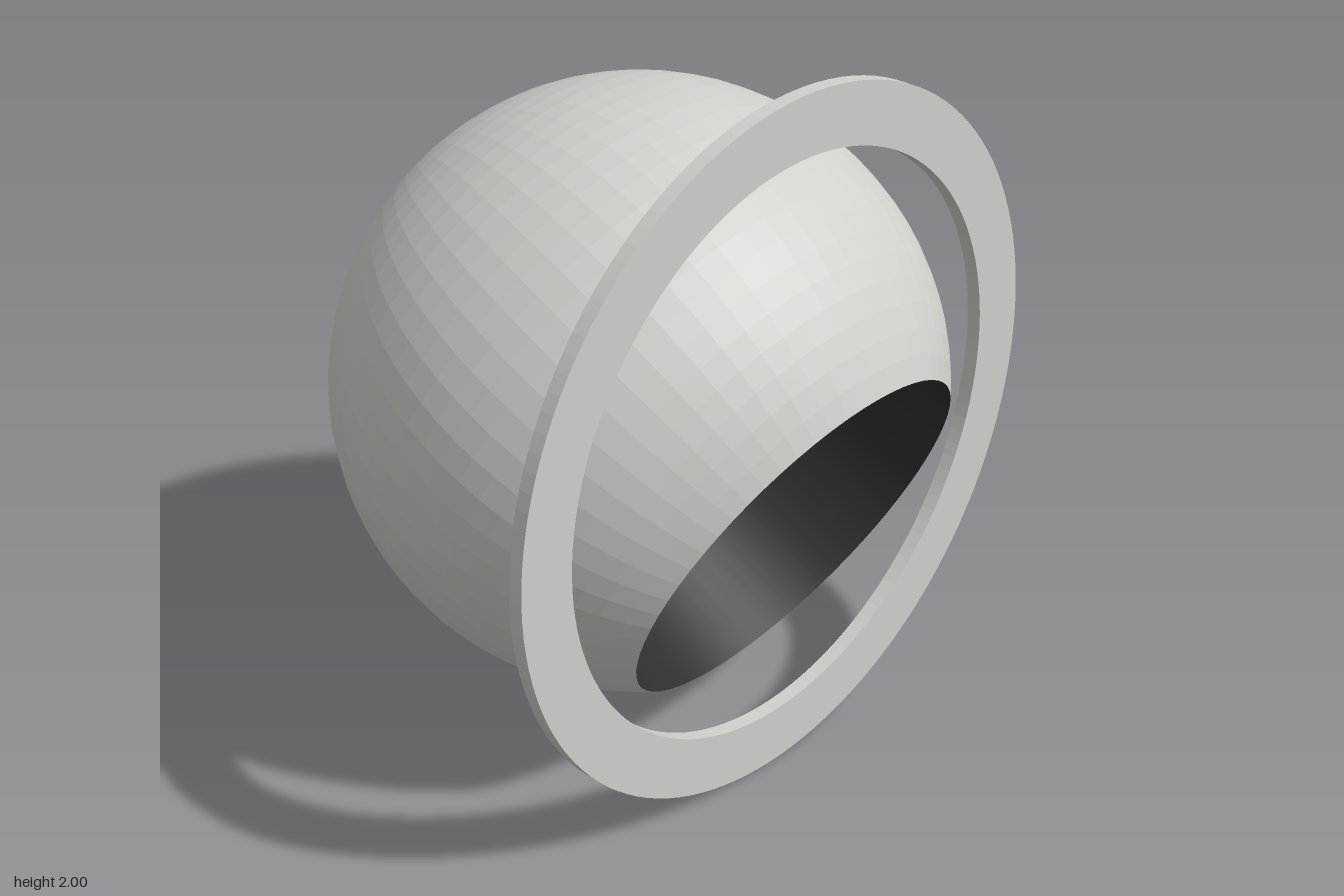
import * as THREE from 'three';

const R = 0.853;                          // sphere radius
const OPEN = THREE.MathUtils.degToRad(42.2); // half angle of the opening
const RIM = R * Math.sin(OPEN);
const RIM_Y = R * Math.cos(OPEN);
const FLOOR = 0.52, DEPTH = 0.44;         // recess floor radius and depth

export function createModel() {
  const shell = new THREE.MeshStandardMaterial({ color: 0xd0d0cb, flatShading: true });
  shell.name = 'light grey';
  const dark = new THREE.MeshStandardMaterial({ color: 0x2f2f2f, side: THREE.DoubleSide });
  dark.name = 'charcoal';

  const model = new THREE.Group();
  const add = (parent, name, geometry, material) => {
    const mesh = new THREE.Mesh(geometry, material);
    mesh.name = name;
    parent.add(mesh);
    return mesh;
  };

  // Truncated ball, its opening tipped forward and 25 degrees down
  const ball = new THREE.Group();
  ball.name = 'ball';
  ball.position.set(0, 1, 0.018);
  ball.rotation.x = THREE.MathUtils.degToRad(115);
  model.add(ball);
  add(ball, 'ballShell', new THREE.SphereGeometry(R, 64, 30, 0, Math.PI * 2, OPEN, Math.PI - OPEN), shell);

  // Tapered recess inside the opening
  add(ball, 'recessWall', new THREE.CylinderGeometry(RIM, FLOOR, DEPTH, 64, 1, true), dark)
    .position.y = RIM_Y - DEPTH / 2;
  const floor = add(ball, 'recessFloor', new THREE.CircleGeometry(FLOOR, 64), dark);
  floor.rotation.x = -Math.PI / 2;
  floor.position.y = RIM_Y - DEPTH;

  // Upright flat ring around the front of the ball
  const outline = new THREE.Shape().absarc(0, 0, 1, 0, Math.PI * 2);
  outline.holes.push(new THREE.Path().absarc(0, 0, 0.828, 0, Math.PI * 2, true));
  const ring = add(model, 'ring', new THREE.ExtrudeGeometry(outline, { depth: 0.042, bevelEnabled: false, curveSegments: 64 }), shell);
  ring.position.set(0, 1, 0.522);

  return model;
}
